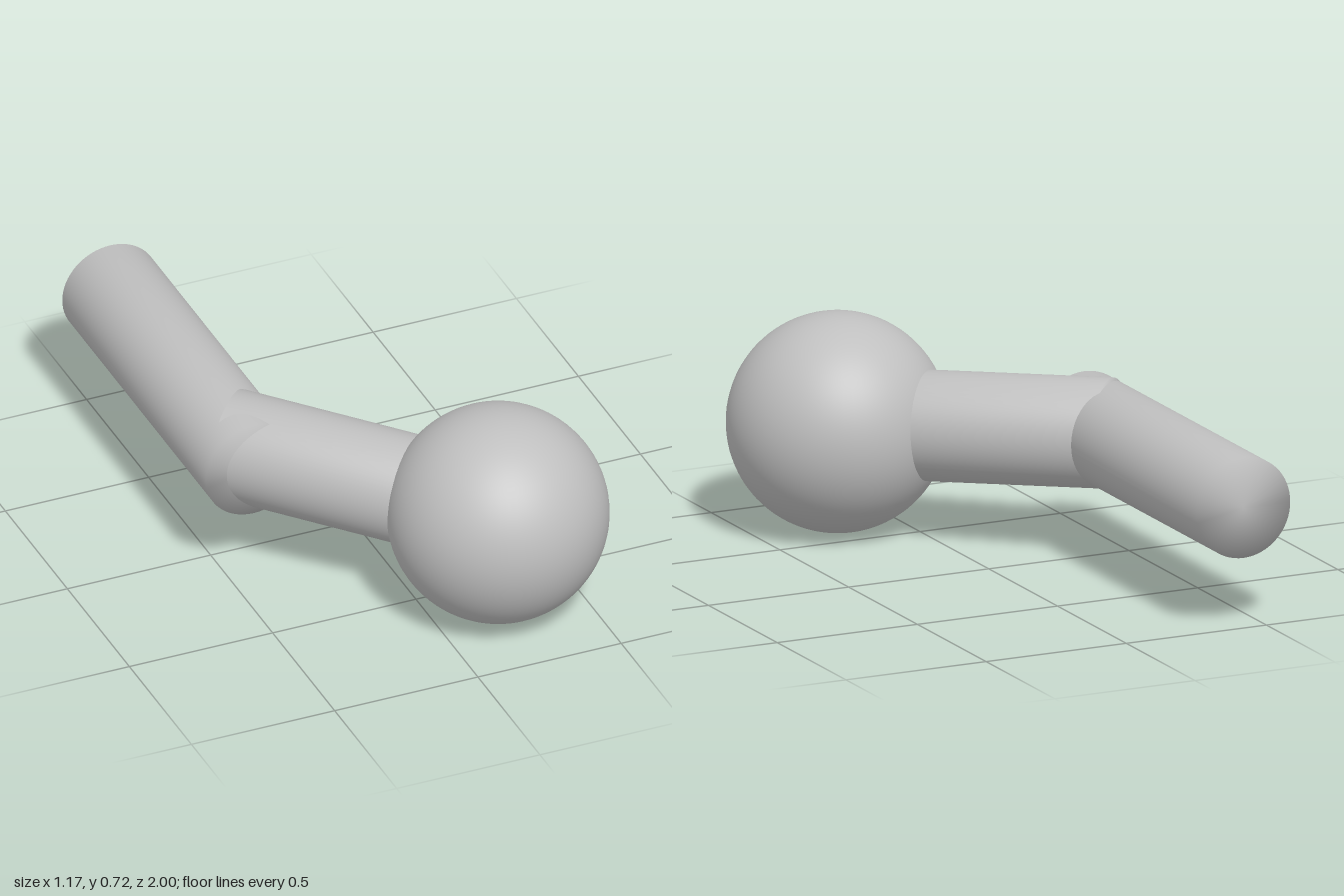
import * as THREE from 'three';
import { mergeVertices } from 'three/addons/utils/BufferGeometryUtils.js';

const grey = new THREE.MeshStandardMaterial({ color: 0xbfbfbf });
grey.name = 'plain grey';

// Capped cylinder between two points, with normals blended over the rims
function rod(name, from, to, radius) {
  const axis = to.clone().sub(from);
  let geometry = new THREE.CylinderGeometry(radius, radius, axis.length(), 64);
  geometry.deleteAttribute('normal');
  geometry.deleteAttribute('uv');
  geometry = mergeVertices(geometry);
  geometry.computeVertexNormals();
  const mesh = new THREE.Mesh(geometry, grey);
  mesh.name = name;
  mesh.position.copy(from).add(to).multiplyScalar(0.5);
  mesh.quaternion.setFromUnitVectors(new THREE.Vector3(0, 1, 0), axis.normalize());
  return mesh;
}

export function createModel() {
  const group = new THREE.Group();
  group.name = 'bentKnobHandle';

  // Round knob at the front
  const centre = new THREE.Vector3(0.225, 0.358, 0.642);
  const knob = new THREE.Mesh(new THREE.SphereGeometry(0.358, 64, 48), grey);
  knob.name = 'knob';
  knob.position.copy(centre);
  group.add(knob);

  // Straight shaft running to the back
  group.add(rod('shaft', new THREE.Vector3(-0.418, 0.4, 0.158), new THREE.Vector3(-0.418, 0.4, -1), 0.167));

  // Slanted neck from the shaft into the knob
  group.add(rod('neck', new THREE.Vector3(-0.43, 0.402, -0.013), centre, 0.179));

  return group;
}
